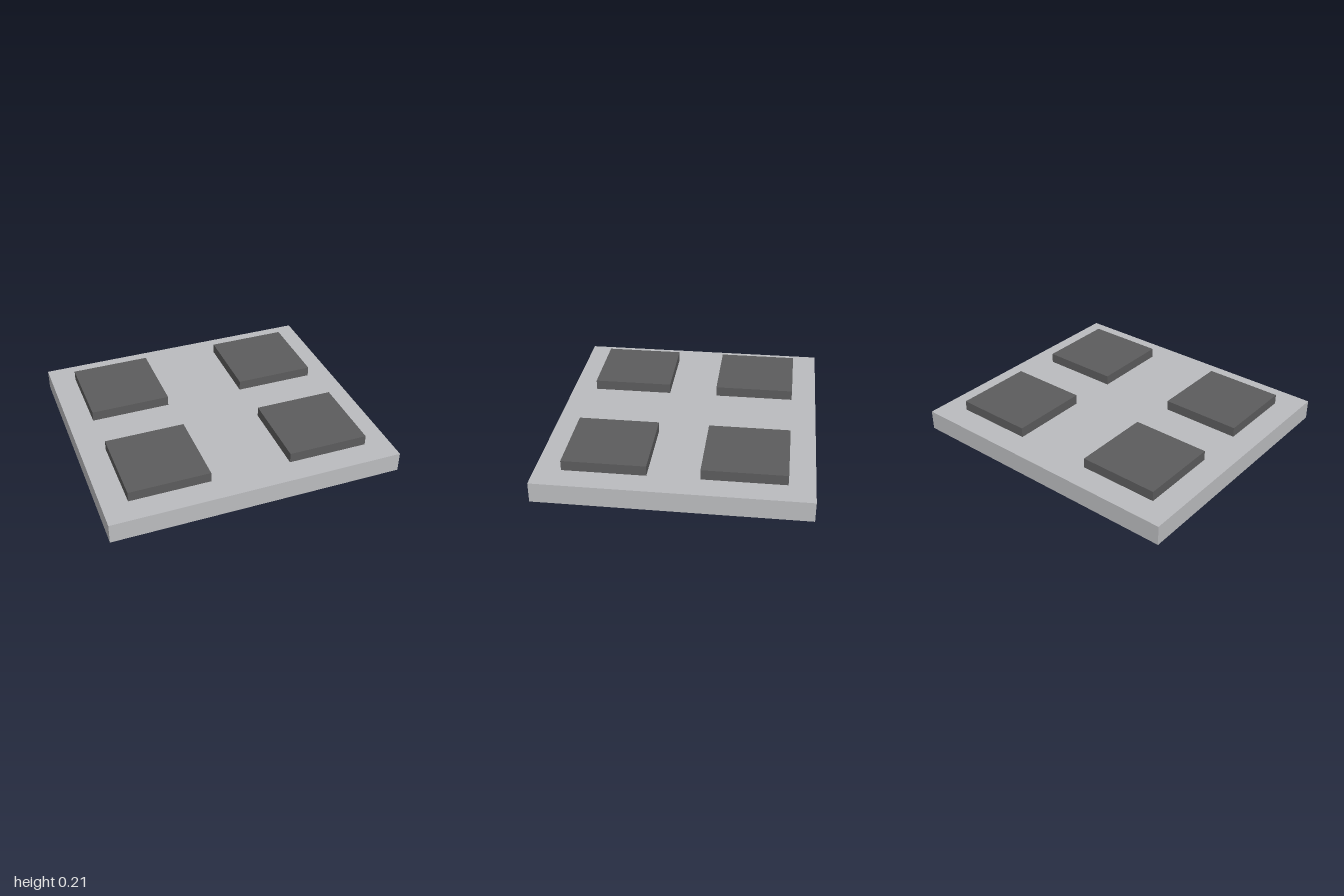
import * as THREE from 'three';

export function createModel() {
  const model = new THREE.Group();
  model.name = 'paddedPlate';

  const lightGrey = new THREE.MeshStandardMaterial({ color: 0xbbbcbf });
  lightGrey.name = 'light grey';
  const darkGrey = new THREE.MeshStandardMaterial({ color: 0x5c5c5d });
  darkGrey.name = 'dark grey';

  // Box standing on the given height
  function addBox(name, material, [w, h, d], x, bottom, z) {
    const mesh = new THREE.Mesh(new THREE.BoxGeometry(w, h, d), material);
    mesh.name = name;
    mesh.position.set(x, bottom + h / 2, z);
    model.add(mesh);
  }

  // Base plate
  const baseHeight = 0.138;
  addBox('basePlate', lightGrey, [2, baseHeight, 1.793], 0, 0, 0);

  // Four square raised pads, mirrored in x and z
  for (const [side, sx] of [['Left', 1], ['Right', -1]]) {
    for (const [end, sz] of [['front', 1], ['back', -1]]) {
      addBox(`${end}${side}Pad`, darkGrey, [0.552, 0.069, 0.552], sx * 0.552, baseHeight, sz * 0.448);
    }
  }

  return model;
}
